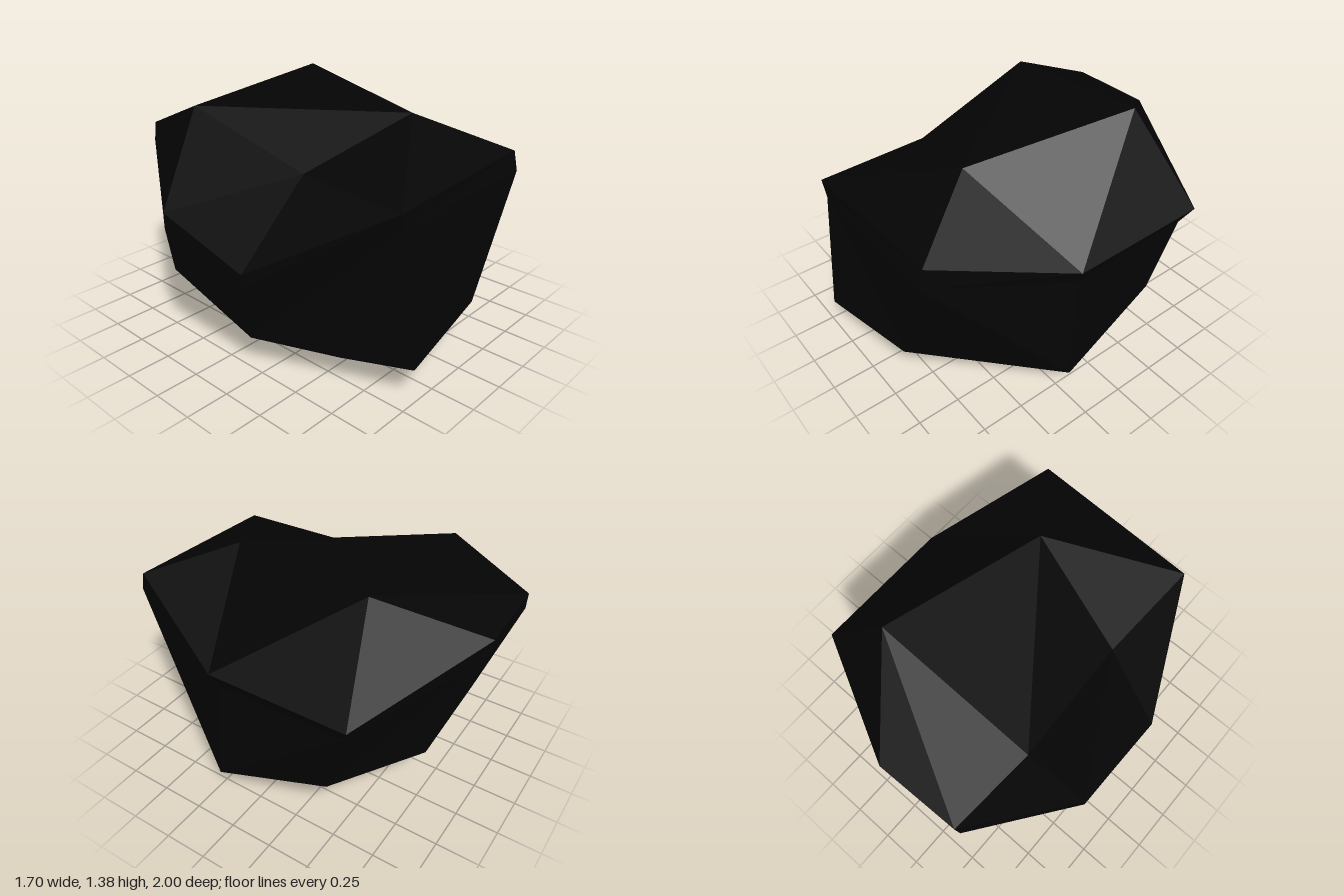
import * as THREE from 'three';

// Each ring has eight corners, counter-clockwise from above, starting front left (+x, +z).
const double = (pts) => pts.flatMap((p) => [p, p]);

const top = double([[0.22, 1.28, 0.46], [0.45, 1.385, -0.5], [-0.51, 1.29, -0.5], [-0.45, 1.06, 0.28]]);
const rim = [
  [0.54, 1.09, 0.92], [0.845, 0.88, 0.2], [0.845, 0.89, -0.63], [0.05, 1.09, -1],
  [-0.45, 1.09, -0.985], [-0.845, 0.775, -0.4], [-0.85, 0.62, 0.23], [-0.47, 1.03, 0.92],
];
const neck = [
  [0.54, 0.98, 0.945], [0.795, 0.78, 0.18], [0.79, 0.79, -0.58], [0.05, 0.98, -0.985],
  [-0.47, 0.98, -0.975], [-0.845, 0.68, -0.4], [-0.845, 0.53, 0.21], [-0.43, 0.94, 0.92],
];
const foot = [
  [0.24, 0.275, 0.91], [0.825, 0.14, 0.22], [0.74, 0.34, -0.45], [0.23, 0.34, -0.77],
  [-0.43, 0.34, -0.75], [-0.84, 0.45, -0.34], [-0.75, 0.185, 0.17], [-0.42, 0.2, 1],
];
const base = double([[0.25, 0.0, 0.22], [0.28, 0.02, -0.39], [-0.42, 0.015, -0.45], [-0.4, 0.035, 0.5]]);

// Joins stacked rings with flat facets; folds lists, per band, the sides creased the other way
function facets(rings, folds, closing) {
  const pos = [];
  const tri = (a, b, c) => {
    if (a !== b && b !== c && a !== c) pos.push(...a, ...b, ...c);
  };
  for (let r = 0; r < rings.length - 1; r++) {
    const up = rings[r], low = rings[r + 1];
    for (let i = 0; i < 8; i++) {
      const j = (i + 1) % 8;
      const other = folds[r].includes(i);
      tri(up[i], low[i], other ? low[j] : up[j]);
      tri(up[j], other ? up[i] : low[i], low[j]);
    }
  }
  closing.forEach((t) => tri(...t));
  const geo = new THREE.BufferGeometry();
  geo.setAttribute('position', new THREE.Float32BufferAttribute(pos, 3));
  geo.computeVertexNormals();
  return geo;
}

export function createModel() {
  const group = new THREE.Group();
  group.name = 'rock';
  const stone = new THREE.MeshStandardMaterial({ color: 0x040404 });
  stone.name = 'dark stone';
  const add = (name, geo) => {
    const mesh = new THREE.Mesh(geo, stone);
    mesh.name = name;
    group.add(mesh);
  };
  // Sloping crown with its slightly overhanging rim
  add('crown', facets([top, rim, neck], [[3], []], [[top[0], top[2], top[4]], [top[0], top[4], top[6]]]));
  // Sides tapering to the underside
  add('body', facets([neck, foot, base], [[0, 7], [3]],
    [[base[2], base[0], base[6]], [base[2], base[6], base[4]]]));
  return group;
}
